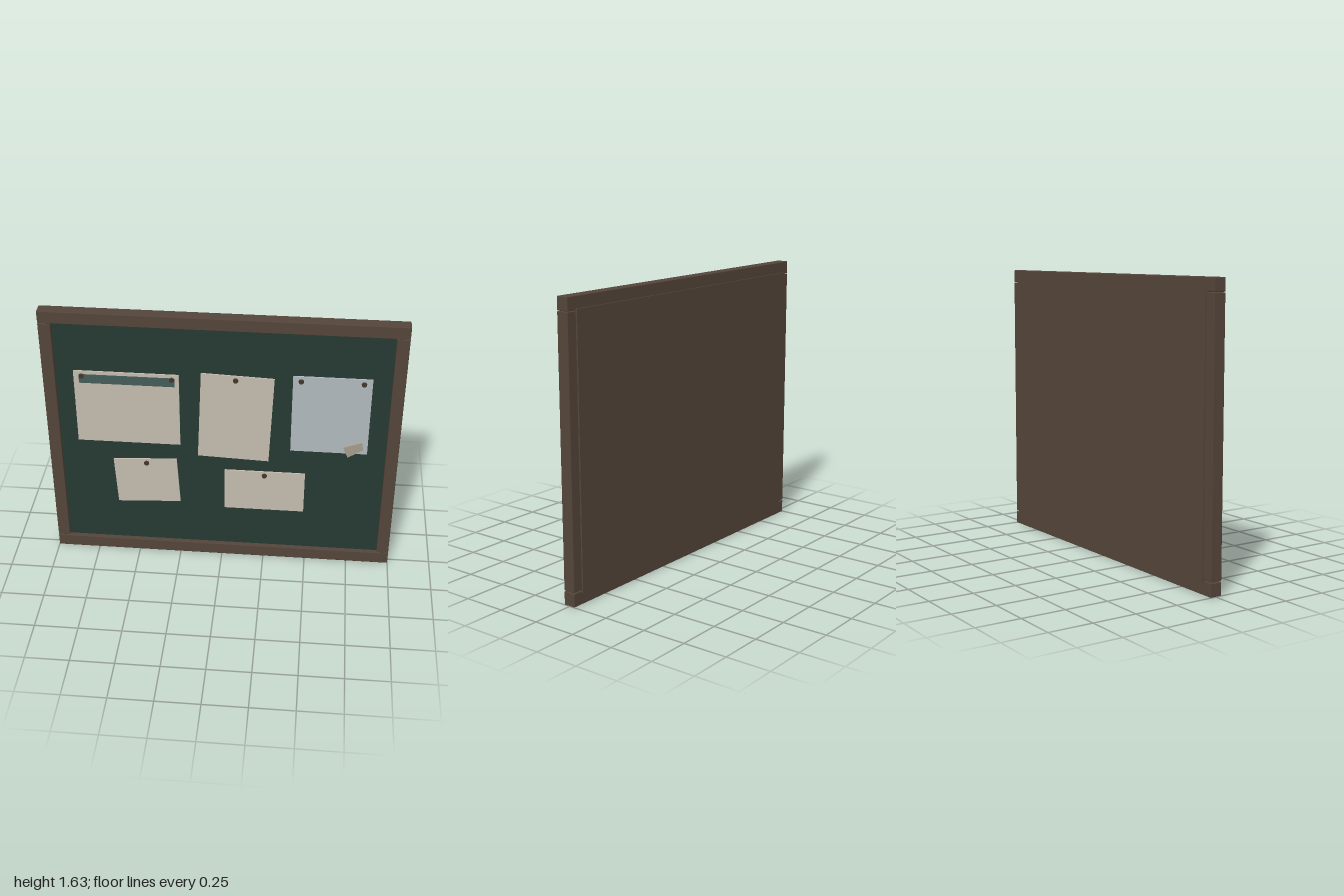
import * as THREE from 'three';
import { RoundedBoxGeometry } from 'three/addons/geometries/RoundedBoxGeometry.js';

const mat = (name, color) => Object.assign(new THREE.MeshStandardMaterial({ color }), { name });

export function createModel() {
  const group = new THREE.Group();
  const wood = mat('dark wood', 0x54453a);
  const green = mat('green board', 0x243a31);
  const paper = mat('cream paper', 0xc4bcae);
  const blue = mat('pale blue paper', 0xb0b9be);
  const shade = mat('worn paper', 0xaca494);
  const tape = mat('teal strip', 0x445c58);
  const metal = mat('pin brown', 0x44352b);

  const add = (name, geometry, material, x, y, z) => {
    const mesh = new THREE.Mesh(geometry, material);
    mesh.name = name;
    mesh.position.set(x, y, z);
    group.add(mesh);
    return mesh;
  };

  // Frame: two long rails with the posts standing between them
  const beam = (name, w, h, x, y) =>
    add(name, new RoundedBoxGeometry(w, h, 0.07, 1, 0.004), wood, x, y, 0.001);
  beam('bottomRail', 2, 0.075, 0, 0.0375);
  beam('topRail', 2, 0.073, 0, 1.589);
  for (const s of [-1, 1]) beam(s > 0 ? 'leftPost' : 'rightPost', 0.07, 1.47, s * 0.965, 0.815);

  // Recessed writing surface and wooden backing
  add('boardSurface', new THREE.BoxGeometry(1.88, 1.495, 0.03), green, 0, 0.8125, -0.005);
  add('backPanel', new THREE.BoxGeometry(1.88, 1.495, 0.023), wood, 0, 0.8125, -0.0315);

  // Pinned sheets: width, height, centre x, centre y, tilt
  const sheet = (name, w, h, x, y, tilt, material) => {
    add(name, new THREE.BoxGeometry(w, h, 0.008), material, x, y, 0.014).rotation.z = tilt;
  };
  sheet('wideSheet', 0.59, 0.467, -0.535, 1.017, 0, paper);
  sheet('tallSheet', 0.407, 0.556, 0.075, 0.985, -0.04, paper);
  sheet('blueSheet', 0.435, 0.497, 0.607, 1.032, 0, blue);
  sheet('smallSheet', 0.37, 0.306, -0.44, 0.516, 0.055, paper);
  sheet('cardSheet', 0.465, 0.275, 0.248, 0.483, 0, paper);

  // Strip across the head of the wide sheet
  add('headerStrip', new THREE.BoxGeometry(0.535, 0.055, 0.004), tape, -0.532, 1.203, 0.02);

  // Loose scrap, lifting away at its upper corner
  const outline = [[0.687, 0.84], [0.715, 0.765], [0.8, 0.818], [0.79, 0.874]];
  const scrap = new THREE.ExtrudeGeometry(
    new THREE.Shape(outline.map(([x, y]) => new THREE.Vector2(x, y))),
    { depth: 0.009, bevelEnabled: false });
  const p = scrap.attributes.position;
  for (let i = 0; i < p.count; i++) {
    p.setZ(i, p.getZ(i) + 0.034 - 0.1 * (p.getX(i) - 0.687) + 0.1 * (p.getY(i) - 0.84));
  }
  scrap.computeVertexNormals();
  add('loosePaperScrap', scrap, shade, 0, 0, 0);

  // Pins
  const pin = new THREE.CylinderGeometry(0.013, 0.016, 0.012, 12).rotateX(Math.PI / 2);
  [[-0.785, 1.22], [-0.28, 1.22], [0.075, 1.235], [0.435, 1.25], [0.778, 1.25],
    [-0.44, 0.642], [0.246, 0.594]].forEach(([x, y]) => add('pin', pin, metal, x, y, 0.022));

  return group;
}
